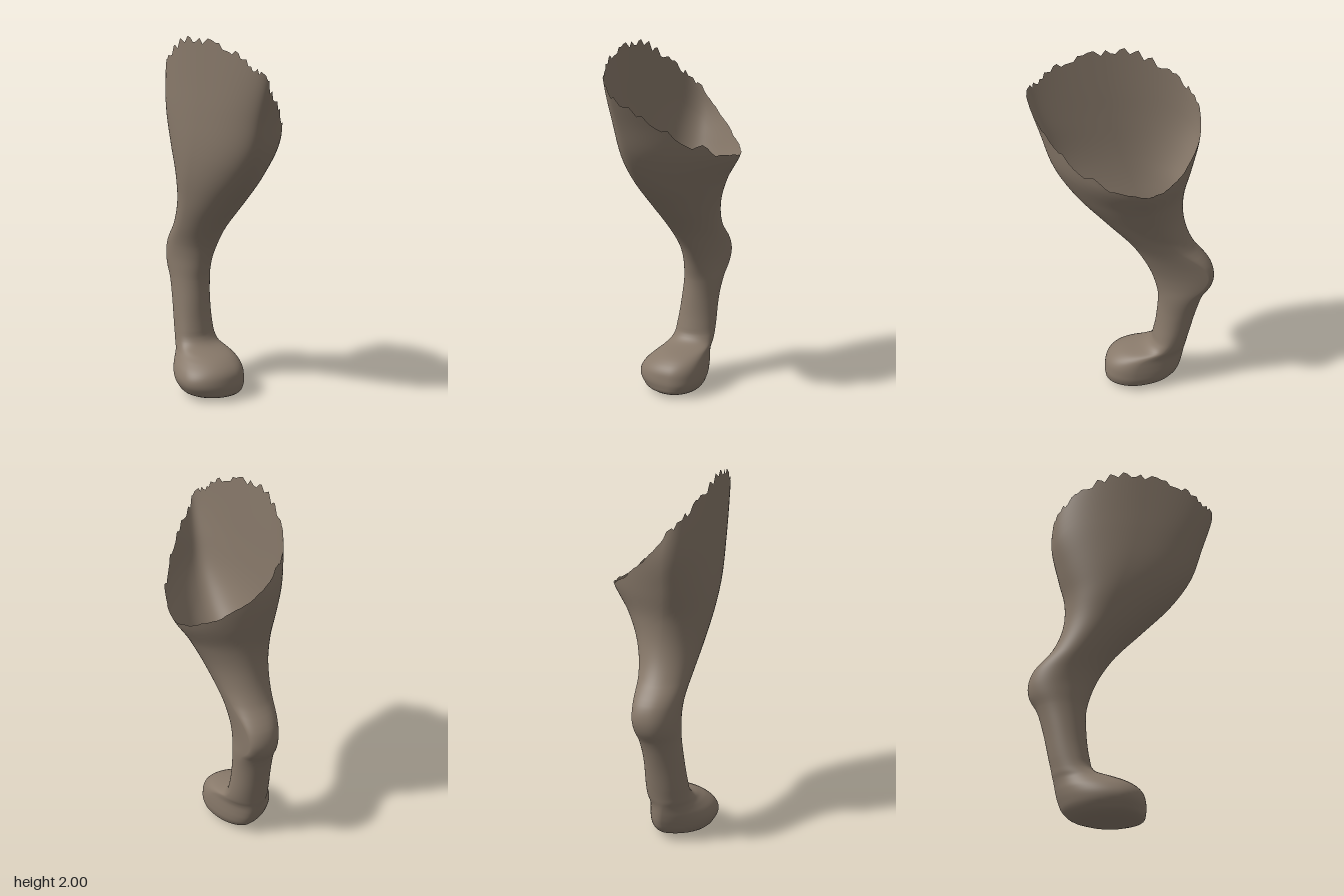
import * as THREE from 'three';

// Cross-sections: height, then the left, front, right and back extreme points as x, z pairs
const pawAndShank = [
  [0.0, -.17, .05, -.07, .15, .03, .08, -.07, 0],
  [.02, -.24, .045, -.06, .235, .095, .07, -.06, -.05],
  [.06, -.295, .035, -.05, .28, .118, .06, -.05, -.075],
  [.11, -.322, .03, -.05, .296, .118, .06, -.05, -.08],
  [.16, -.338, .035, -.07, .275, .103, .06, -.06, -.078],
  [.20, -.347, .04, -.11, .235, .06, .06, -.09, -.074],
  [.225, -.353, .045, -.16, .205, .005, .06, -.14, -.072],
  [.25, -.36, .05, -.21, .185, -.10, .06, -.20, -.07],
  [.28, -.366, .05, -.24, .172, -.147, .055, -.23, -.07],
  [.34, -.38, .05, -.26, .162, -.168, .05, -.26, -.07],
  [.50, -.415, .03, -.30, .145, -.188, .04, -.30, -.072],
  [.62, -.452, .02, -.32, .135, -.188, .03, -.35, -.085],
];
const hockAndThigh = [
  [.69, -.49, .005, -.33, .135, -.172, .03, -.42, -.093],
  [.76, -.50, 0, -.33, .137, -.148, .03, -.45, -.098],
  [.84, -.475, .005, -.30, .147, -.108, .03, -.41, -.10],
  [.95, -.385, .02, -.22, .175, -.03, .05, -.27, -.103],
  [1.10, -.325, .03, -.12, .215, .12, .08, -.16, -.135],
  [1.25, -.32, .04, -.06, .25, .27, .11, -.10, -.20],
  [1.40, -.36, .05, 0, .27, .375, .14, -.07, -.29],
  [1.60, -.405, .06, .05, .278, .445, .17, -.06, -.32],
  [1.77, -.395, .08, .08, .28, .50, .19, -.06, -.35],
  [2.00, -.36, .10, .10, .283, .55, .20, -.06, -.38],
];

// Rim height around the thigh, every 22.5 degrees from +x towards +z
const rimHeights = [1.75, 1.81, 1.87, 1.94, 1.98, 1.98, 1.89, 1.80, 1.71, 1.57, 1.46, 1.41, 1.395, 1.41, 1.48, 1.60];

const COLUMNS = 112;
const STEPS = 4;

function seededRandom(seed) {
  return () => {
    seed = (seed * 16807) % 2147483647;
    return seed / 2147483647;
  };
}

function createLegGeometry() {
  const rows = [...pawAndShank, ...hockAndThigh];
  const heights = rows.map((r) => r[0]);
  const section = new THREE.CubicInterpolant(heights, rows.flatMap((r) => r.slice(1)), 8, new Float32Array(8));

  // A cross-section is four quarter ellipses joining its extreme points
  const pointAt = (angle, y) => {
    const [lx, lz, fx, fz, rx, rz, bx, bz] = section.evaluate(y);
    const c = Math.cos(angle), s = Math.sin(angle);
    const sideX = c >= 0 ? rx : lx, sideZ = c >= 0 ? rz : lz;
    const endX = s >= 0 ? fx : bx, endZ = s >= 0 ? fz : bz;
    // The thigh is flatter towards its rear edge and squarer at the front right
    const thigh = THREE.MathUtils.smoothstep(y, 1, 1.4);
    const bend = s < 0 ? 0.25 : c > 0 ? -0.15 : 0;
    const e = 1 + bend * thigh;
    return [
      endX + (sideX - endX) * Math.abs(c) ** e, y,
      sideZ + (endZ - sideZ) * Math.abs(s) ** e,
    ];
  };

  const levels = [0];
  for (let i = 1; i < heights.length; i++) {
    for (let k = 1; k <= STEPS; k++) {
      levels.push(THREE.MathUtils.lerp(heights[i - 1], heights[i], k / STEPS));
    }
  }

  // Ragged rim, smoother along the inner rear side
  const random = seededRandom(41);
  const rim = [], jag = [];
  for (let j = 0; j < COLUMNS; j++) {
    const t = (j / COLUMNS) * 16, k = Math.floor(t);
    rim.push(THREE.MathUtils.lerp(rimHeights[k], rimHeights[(k + 1) % 16], t - k));
    jag.push((random() - 0.5) * (t > 8 && t < 13 ? 0.008 : 0.045));
  }

  const positions = [], index = [];
  levels.forEach((level, i) => {
    for (let j = 0; j < COLUMNS; j++) {
      let y = level > 1 ? 1 + (level - 1) * (rim[j] - 1) : level;
      if (i === levels.length - 1) y = Math.min(2, y + jag[j]);
      positions.push(...pointAt((j / COLUMNS) * Math.PI * 2, y));
    }
  });
  for (let i = 0; i < levels.length - 1; i++) {
    for (let j = 0; j < COLUMNS; j++) {
      const n = (j + 1) % COLUMNS;
      const a = i * COLUMNS + j, b = i * COLUMNS + n;
      index.push(a, a + COLUMNS, b, b, a + COLUMNS, b + COLUMNS);
    }
  }
  // Sole
  const centre = positions.length / 3;
  positions.push(-0.07, 0, 0.07);
  for (let j = 0; j < COLUMNS; j++) index.push(centre, j, (j + 1) % COLUMNS);

  const geometry = new THREE.BufferGeometry();
  geometry.setAttribute('position', new THREE.Float32BufferAttribute(positions, 3));
  geometry.setIndex(index);
  geometry.computeVertexNormals();
  return geometry;
}

export function createModel() {
  const hide = new THREE.MeshStandardMaterial({ color: 0x88796a, side: THREE.DoubleSide });
  hide.name = 'hide brown';

  const leg = new THREE.Mesh(createLegGeometry(), hide);
  leg.name = 'hindLeg';

  const model = new THREE.Group();
  model.name = 'animalHindLeg';
  model.add(leg);
  return model;
}
